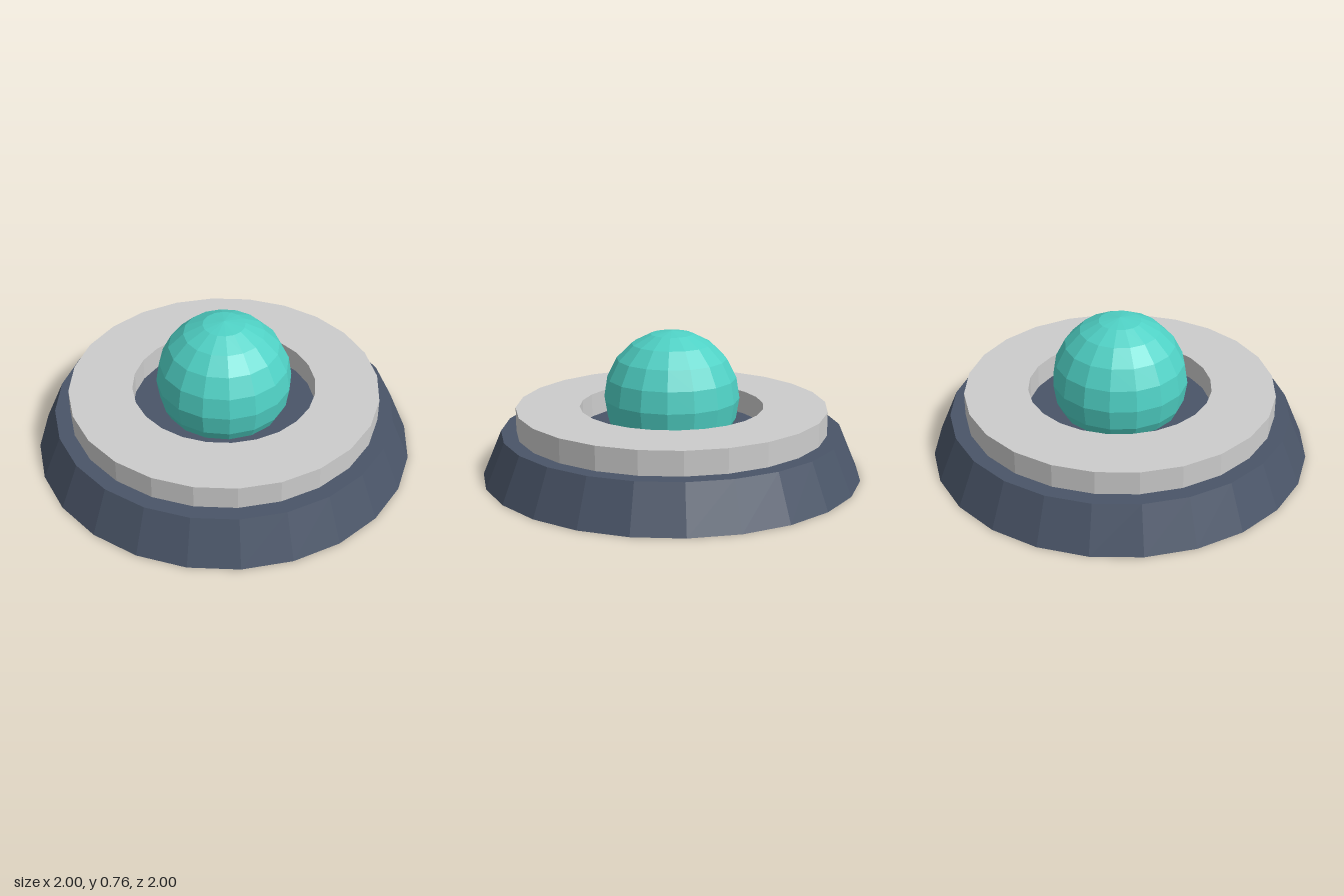
import * as THREE from 'three';

const SIDES = 24;
const BASE_TOP = 0.235;
const RING_TOP = 0.36;

function material(name, color) {
  const m = new THREE.MeshStandardMaterial({ color, flatShading: true });
  m.name = name;
  return m;
}

function addPart(group, name, geometry, mat, y = 0) {
  const mesh = new THREE.Mesh(geometry, mat);
  mesh.name = name;
  mesh.position.y = y;
  group.add(mesh);
}

export function createModel() {
  const group = new THREE.Group();
  group.name = 'domedButton';

  const slate = material('slate', 0x4a5568);
  const lightGrey = material('lightGrey', 0xcccccc);
  const teal = material('teal', 0x4fd1c5);

  // Tapered base plate
  addPart(group, 'base', new THREE.CylinderGeometry(0.9, 1, BASE_TOP, SIDES), slate, BASE_TOP / 2);

  // Flat-topped collar with an open centre, as a closed rectangular profile
  const inner = 0.485, outer = 0.82;
  const collarProfile = [
    [inner, BASE_TOP], [outer, BASE_TOP], [outer, RING_TOP], [inner, RING_TOP], [inner, BASE_TOP],
  ].map(([r, y]) => new THREE.Vector2(r, y));
  addPart(group, 'collar', new THREE.LatheGeometry(collarProfile, SIDES), lightGrey);

  // Faceted ball sunk into the base
  addPart(group, 'dome', new THREE.SphereGeometry(0.357, 16, 10), teal, 0.403);

  return group;
}
